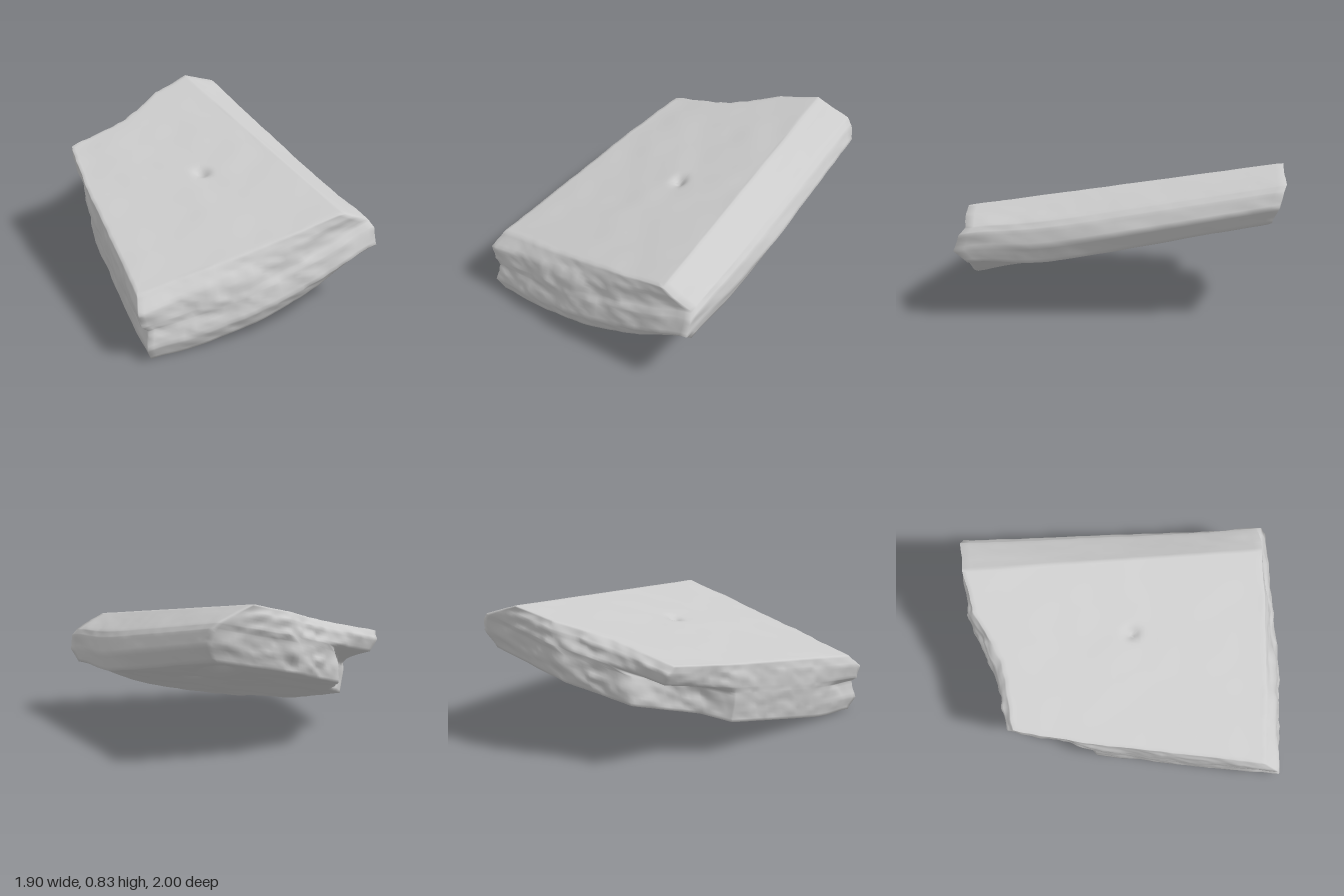
import * as THREE from 'three';

// Outlines [x, z] from top to bottom; f is the height between the two tilted planes.
// Order: back-left, back, right, right face, front, front-left (2), left tip, left edge (2)
const RINGS = [
  { f: 1.0, p: [[-.68, -.80], [.07, -.41], [.80, -.03], [.47, .46], [.12, .93], [-.15, .71], [-.60, .35], [-.93, .05], [-.77, -.29], [-.75, -.58]] },
  { f: .85, p: [[-.64, -.87], [.10, -.475], [.84, -.09], [.50, .49], [.17, 1.0], [-.15, .72], [-.60, .35], [-.95, .02], [-.82, -.30], [-.77, -.60]] },
  { f: .62, p: [[-.59, -.97], [.15, -.57], [.88, -.18], [.53, .50], [.18, .99], [-.15, .71], [-.60, .35], [-.92, .00], [-.83, -.30], [-.78, -.60]] },
  { f: .50, p: [[-.56, -.99], [.16, -.60], [.92, -.18], [.55, .50], [.20, .95], [-.15, .71], [-.60, .34], [-.64, .15], [-.83, -.20], [-.79, -.55]] },
  { f: .25, p: [[-.53, -1.0], [.17, -.63], [.94, -.16], [.57, .49], [.21, .98], [-.14, .70], [-.59, .33], [-.62, .15], [-.84, -.19], [-.79, -.55]] },
  { f: 0, p: [[-.53, -.94], [.15, -.58], [.87, -.18], [.55, .45], [.20, .94], [-.13, .68], [-.59, .32], [-.61, .15], [-.83, -.18], [-.77, -.53]] },
];
// Roughness of each side run: dressed back edge, broken elsewhere
const ROUGH = [.005, .005, .020, .020, .012, .012, .020, .026, .028, .022];
const CENTRE = [-.1, -.04];
const PER = 18, SUB = 5, CAP = 36;

// Elliptical bump: 1 at its middle, falling off smoothly
function bump(x, z, cx, cz, long, wide, angle) {
  const dx = x - cx, dz = z - cz, c = Math.cos(angle), s = Math.sin(angle);
  const u = (dx * c + dz * s) / long, v = (dz * c - dx * s) / wide;
  return Math.exp(-2 * (u * u + v * v));
}

// The underside rises towards the right and front corners
const topY = (x, z) => .602 - .025 * x - .263 * z;
const bottomY = (x, z) => .247 - .07 * x - .286 * z
  + .08 * bump(x, z, .88, -.18, .4, .4, 0) + .04 * bump(x, z, .2, .96, .25, .25, 0);

// Smooth value noise in -1..1
function hash(x, y, z) {
  const s = Math.sin(x * 127.1 + y * 311.7 + z * 74.7) * 43758.5453;
  return (s - Math.floor(s)) * 2 - 1;
}
function noise(x, y, z) {
  const c = [x, y, z].map(Math.floor);
  const [u, v, w] = [x, y, z].map((n, i) => { const t = n - c[i]; return t * t * (3 - 2 * t); });
  let sum = 0;
  for (let k = 0; k < 8; k++) {
    const a = k & 1, b = (k >> 1) & 1, d = k >> 2;
    sum += hash(c[0] + a, c[1] + b, c[2] + d) * (a ? u : 1 - u) * (b ? v : 1 - v) * (d ? w : 1 - w);
  }
  return sum;
}
const grain = (x, y, z) => noise(x * 9, y * 14, z * 9) * .6 + noise(x * 21, y * 30, z * 21) * .5;

function createSlabGeometry() {
  const n = RINGS[0].p.length * PER;
  const pos = [], index = [];
  const lerp = THREE.MathUtils.lerp;
  let rows = 0;

  // Point i of the outline between rings k and k + 1
  function outline(k, t, i) {
    const next = Math.min(k + 1, RINGS.length - 1);
    const seg = Math.floor(i / PER), s = (i % PER) / PER;
    const end = (seg + 1) % ROUGH.length, before = (seg + 9) % ROUGH.length;
    const at = (r, axis) => lerp(RINGS[r].p[seg][axis], RINGS[r].p[end][axis], s);
    let x = lerp(at(k, 0), at(next, 0), t), z = lerp(at(k, 1), at(next, 1), t);
    const f = lerp(RINGS[k].f, RINGS[next].f, t);
    const y = lerp(bottomY(x, z), topY(x, z), f);
    const rough = s < .5 ? lerp((ROUGH[seg] + ROUGH[before]) / 2, ROUGH[seg], s * 2)
      : lerp(ROUGH[seg], (ROUGH[seg] + ROUGH[end]) / 2, s * 2 - 1);
    // Push in and out along the radius, calmer at the upper and lower rims
    const amount = rough * (.4 + .6 * Math.min(1, (1 - f) * 6, f * 6 + .3));
    const dx = x - CENTRE[0], dz = z - CENTRE[1], len = Math.hypot(dx, dz);
    const g = grain(x, y, z) * amount;
    x += dx / len * g;
    z += dz / len * g;
    return [x, y + g * .3, z];
  }

  // Flat faces run from the rim to the centre
  function capRow(k, r, top) {
    for (let i = 0; i < n; i++) {
      const rim = outline(k, 0, i);
      const x = lerp(CENTRE[0], rim[0], r), z = lerp(CENTRE[1], rim[2], r);
      let y;
      if (top) {
        y = topY(x, z) + .003 * noise(x * 7, 2, z * 7) - .035 * bump(x, z, -.09, -.04, .055, .045, 0);
      } else {
        y = bottomY(x, z) + .006 * noise(x * 6, 5, z * 6)
          + .03 * bump(x, z, .07, -.2, .1, .05, .7)
          + .05 * bump(x, z, -.36, -.62, .22, .07, .8);
      }
      pos.push(x, y, z);
    }
    rows++;
  }

  for (let r = 0; r < CAP; r++) capRow(0, r / CAP, true);
  for (let k = 0; k < RINGS.length; k++) {
    const steps = k === RINGS.length - 1 ? 1 : SUB;
    for (let j = 0; j < steps; j++, rows++) {
      for (let i = 0; i < n; i++) pos.push(...outline(k, j / steps, i));
    }
  }
  for (let r = CAP - 1; r >= 0; r--) capRow(RINGS.length - 1, r / CAP, false);

  for (let r = 0; r < rows - 1; r++) {
    for (let i = 0; i < n; i++) {
      const j = (i + 1) % n;
      const a = r * n + i, b = r * n + j, c = a + n, d = b + n;
      if (r > 0) index.push(a, b, c);
      if (r < rows - 2) index.push(b, d, c);
    }
  }
  const geometry = new THREE.BufferGeometry();
  geometry.setAttribute('position', new THREE.Float32BufferAttribute(pos, 3));
  geometry.setIndex(index);
  geometry.computeVertexNormals();
  // The cap centres share one normal each
  const normal = geometry.attributes.normal;
  for (let i = 0; i < n; i++) {
    normal.setXYZ(i, .02, .97, .25);
    normal.setXYZ((rows - 1) * n + i, -.07, -.96, -.27);
  }
  return geometry;
}

export function createModel() {
  const group = new THREE.Group();
  group.name = 'brokenStoneSlab';
  const slab = new THREE.Mesh(createSlabGeometry(), new THREE.MeshStandardMaterial({ color: 0xcccccc }));
  slab.name = 'slab';
  group.add(slab);
  return group;
}
